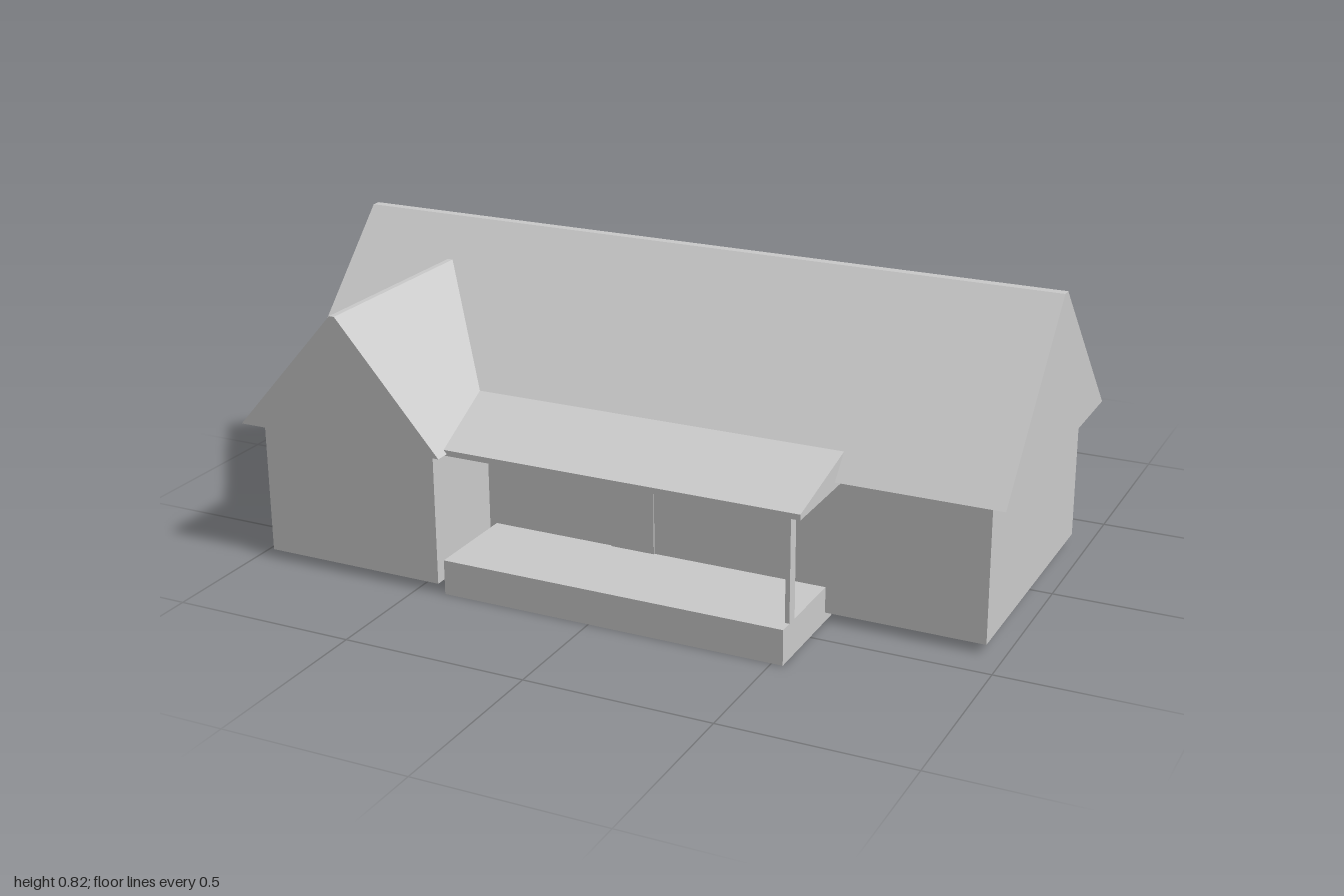
import * as THREE from 'three';

const material = new THREE.MeshStandardMaterial({ color: 0xcccccc, flatShading: true });

function add(parent, name, geometry) {
  const mesh = new THREE.Mesh(geometry, material);
  mesh.name = name;
  parent.add(mesh);
  return mesh;
}

// Box given by its extents on each axis
function box(parent, name, [x0, x1], [y0, y1], [z0, z1]) {
  const geometry = new THREE.BoxGeometry(x1 - x0, y1 - y0, z1 - z0);
  geometry.translate((x0 + x1) / 2, (y0 + y1) / 2, (z0 + z1) / 2);
  return add(parent, name, geometry);
}

function extrude(points, depth) {
  const shape = new THREE.Shape(points.map(([x, y]) => new THREE.Vector2(x, y)));
  return new THREE.ExtrudeGeometry(shape, { depth, bevelEnabled: false });
}

// Profile of [z, y] points swept along x
function sweepX(parent, name, profile, x0, x1) {
  return add(parent, name, extrude(profile, x1 - x0).rotateY(-Math.PI / 2).translate(x1, 0, 0));
}

// Profile of [x, y] points swept along z
function sweepZ(parent, name, profile, z0, z1) {
  return add(parent, name, extrude(profile, z1 - z0).translate(0, 0, z0));
}

export function createModel() {
  const house = new THREE.Group();
  house.name = 'house';

  // Main block with its long gable roof, ridge cut slightly flat
  box(house, 'mainWalls', [-0.953, 0.953], [0.025, 0.402], [-0.34, 0.402]);
  sweepX(house, 'mainRoof', [[-0.387, 0.402], [0.452, 0.402], [0.045, 0.823], [0.02, 0.823]], -1, 1);

  // Front wing with a cross gable running into the main roof
  box(house, 'wingWalls', [-0.953, -0.438], [0.025, 0.392], [0.3, 0.67]);
  sweepZ(house, 'wingRoof', [[-0.999, 0.39], [-0.398, 0.39], [-0.688, 0.725], [-0.703, 0.725]], -0.01, 0.706);

  // Front porch: slab, corner post and lean-to roof
  const porch = new THREE.Group();
  porch.name = 'porch';
  house.add(porch);
  box(porch, 'porchFloor', [-0.418, 0.53], [0, 0.095], [0.308, 0.67]);
  box(porch, 'porchPost', [0.518, 0.53], [0.095, 0.386], [0.6, 0.632]);
  sweepX(porch, 'porchRoof', [[0.25, 0.385], [0.666, 0.385], [0.666, 0.4], [0.25, 0.495]], -0.46, 0.568);

  // Back deck with floating rails, open at one gap for access
  const deck = new THREE.Group();
  deck.name = 'backDeck';
  house.add(deck);
  box(deck, 'deckFloor', [-0.13, 0.817], [0.025, 0.09], [-0.71, -0.33]);
  const railY = [0.105, 0.195];
  for (const x of [-0.13, 0.8]) box(deck, 'sideRail', [x, x + 0.017], railY, [-0.71, -0.34]);
  for (const span of [[-0.113, -0.025], [0.16, 0.8]]) box(deck, 'endRail', span, railY, [-0.71, -0.693]);

  // Doors
  box(house, 'frontDoor', [-0.07, 0.053], [0.095, 0.343], [0.39, 0.406]);
  box(house, 'backDoor', [0.37, 0.495], [0.09, 0.343], [-0.344, -0.33]);

  return house;
}
